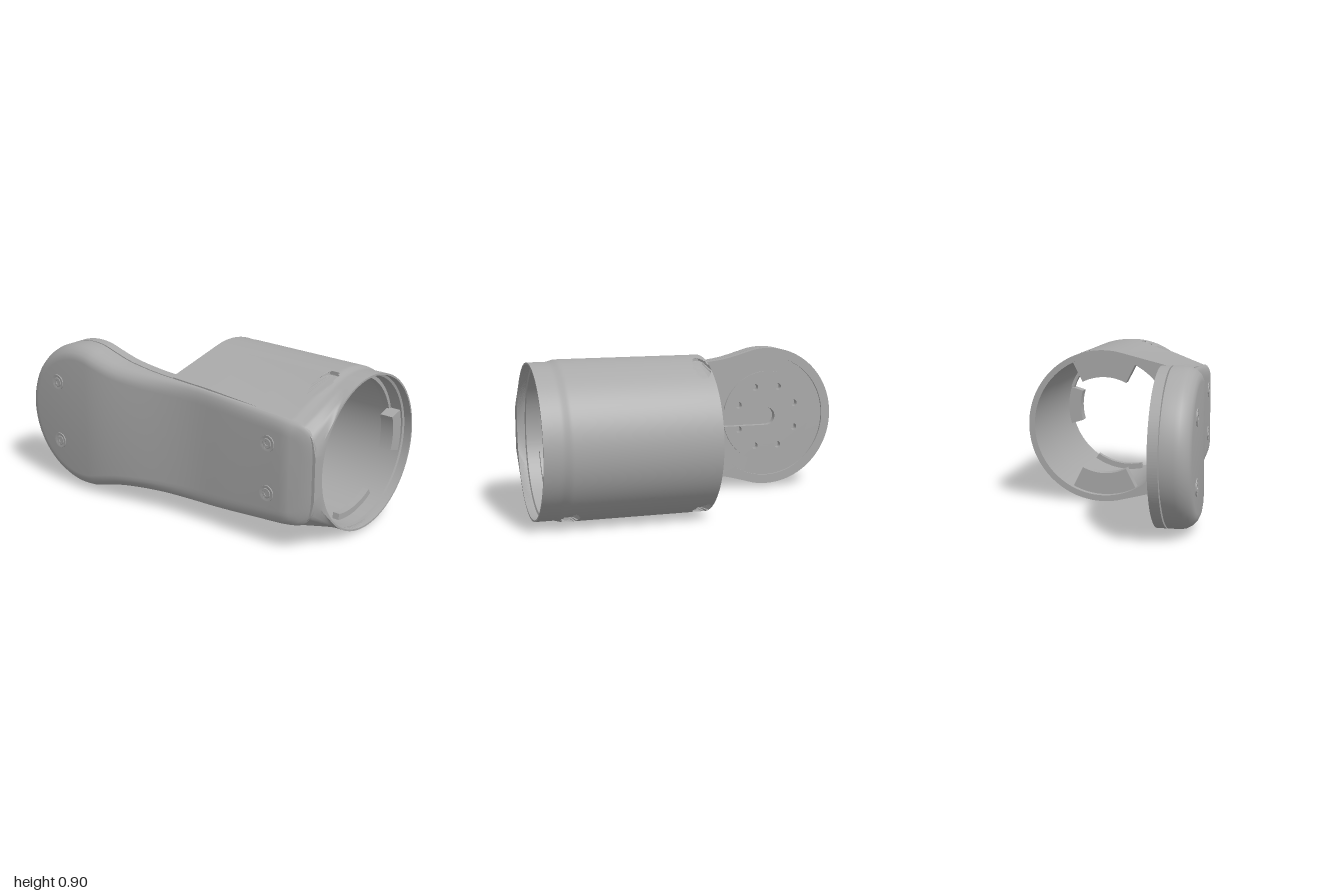
import * as THREE from 'three';
import { mergeGeometries, toCreasedNormals } from 'three/addons/utils/BufferGeometryUtils.js';

const CY = 0.457, CZ = -0.105, HUB_X = -0.57;
const { lerp, smoothstep } = THREE.MathUtils;

// Surface through rows of points
function grid(rows, closed, flip) {
  const n = rows[0].length, pos = [], idx = [];
  rows.forEach(r => r.forEach(p => pos.push(...p)));
  for (let i = 0; i < rows.length - 1; i++) {
    for (let j = 0; j < (closed ? n : n - 1); j++) {
      const k = (j + 1) % n;
      const a = i * n + j, b = a + n, c = (i + 1) * n + k, d = i * n + k;
      if (flip) idx.push(a, d, c, a, c, b);
      else idx.push(a, b, c, a, c, d);
    }
  }
  const g = new THREE.BufferGeometry();
  g.setAttribute('position', new THREE.Float32BufferAttribute(pos, 3));
  g.setIndex(idx);
  return g;
}

// Half height of the arm right of the hub: [x, half height]
const TAPER = [[-0.3, 0.372], [-0.2, 0.357], [-0.1, 0.347], [0, 0.341], [0.3, 0.33],
  [0.6, 0.31], [0.85, 0.29], [0.93, 0.27], [0.98, 0.215], [1, 0.12]];

function halfHeight(x) {
  for (let i = 1; i < TAPER.length; i++) {
    const [x0, h0] = TAPER[i - 1], [x1, h1] = TAPER[i];
    if (x <= x1) return lerp(h0, h1, (x - x0) / (x1 - x0));
  }
  return 0.12;
}

// Arm outline, counter-clockwise from the middle of the right end
function armOutline() {
  const top = [...TAPER].reverse();
  for (let a = 70; a < 180; a += 10) {
    const t = a * Math.PI / 180;
    top.push([HUB_X + 0.43 * Math.cos(t), 0.43 * Math.sin(t)]);
  }
  const all = [[1, 0], ...top, [-1, 0], ...top.reverse().map(([x, y]) => [x, -y])];
  const curve = new THREE.CatmullRomCurve3(all.map(([x, y]) => new THREE.Vector3(x, y, 0)), true);
  return curve.getPoints(200).slice(0, 200).map(p => [Math.min(p.x, 1), p.y]);
}

const coverFront = x => 0.555 - 0.118 * smoothstep(x, -0.5, 0.3)
  - 0.007 * smoothstep(x, 0.3, 0.8) - 0.042 * Math.max(0, (x - 0.84) / 0.16);
const coverBase = x => 0.403 - 0.035 * smoothstep(x, 0.3, 1);

// Rounded cover: outline rings stepping inward toward the front
function coverGeometry(outline) {
  const n = outline.length;
  const inset = d => outline.map(([x, y], i) => {
    const [ax, ay] = outline[(i + n - 1) % n], [bx, by] = outline[(i + 1) % n];
    const l = Math.hypot(bx - ax, by - ay);
    return [x - (by - ay) / l * d, y + (bx - ax) / l * d];
  });
  const ring = (d, z) => inset(d).map(([x, y]) => [x, y + CY, z(x)]);
  const rows = [ring(0.03, x => coverBase(x) - 0.02), ring(0.03, coverBase)];
  for (const [d, t] of [[0, 0], [0, 0.45], [0.006, 0.62], [0.02, 0.79], [0.04, 0.92], [0.06, 0.98], [0.08, 1]]) {
    rows.push(ring(d, x => lerp(coverBase(x), coverFront(x), t)));
  }
  const cap = (r, flip) => {
    const top = r.slice(0, n / 2 + 1);
    return grid([top, top.map((_, i) => r[(n - i) % n])], false, flip);
  };
  const g = mergeGeometries([grid(rows, true, true), cap(rows.at(-1), true), cap(rows[0], false)]);
  return toCreasedNormals(g, 0.5);
}

// Screw pockets in the tube: [x, y, direction in z, floor z]
const POCKETS = [[0.82, 0.865, 1, -0.02], [0.07, 0.857, -1, -0.17],
  [0.82, 0.057, -1, -0.17], [0.07, 0.057, -1, -0.17]];

function carve(p) {
  for (const [x, y, s, floor] of POCKETS) {
    if (Math.hypot(p[0] - x, p[1] - y) < 0.042 && (p[2] - floor) * s > 0) {
      p[2] = floor;
      const r = Math.hypot(p[1] - CY, p[2] - CZ), k = Math.max(1, 0.427 / r);
      p[1] = CY + (p[1] - CY) * k;
      p[2] = CZ + (p[2] - CZ) * k;
    }
  }
  return p;
}

// Tube blended along tangents into the flat back of the arm
function bodyGeometry() {
  const FLAT = 0.492;
  const section = (x, inner) => {
    const R = 0.45 - 0.012 * smoothstep(x, 0.84, 0.9);
    const h = halfHeight(x);
    const corner = Math.atan2(h, FLAT);
    const tangent = corner + Math.acos(Math.min(1, R / Math.hypot(h, FLAT)));
    const angles = [];
    const span = (a, b, n) => { for (let i = 0; i < n; i++) angles.push(lerp(a, b, i / n)); };
    span(-corner, corner, 40);
    span(corner, tangent, 18);
    span(tangent, 2 * Math.PI - tangent, 140);
    span(-tangent, -corner, 18);
    return angles.map(a => {
      const t = Math.abs(a > Math.PI ? a - 2 * Math.PI : a);
      let r = R;
      if (inner) {
        r = x > 0.952 ? 0.428 : 0.415;
        if (x < 0.352 && t < 0.13) r = 0.475 / Math.cos(t);
      } else if (t <= corner + 1e-6) r = FLAT / Math.cos(t);
      else if (t < tangent) r = R / Math.cos(tangent - t);
      const p = [x, CY + r * Math.sin(a), CZ + r * Math.cos(a)];
      return inner ? p : carve(p);
    });
  };
  const rows = [];
  for (let i = 0; i <= 120; i++) rows.push(section(lerp(0.022, 1, i / 120), false));
  for (const x of [1, 0.955, 0.95, 0.355, 0.35, 0.022]) rows.push(section(x, true));
  rows.push(rows[0]);
  return toCreasedNormals(grid(rows, true, false), 0.5);
}

function extrude(shape, z0, z1) {
  const g = new THREE.ExtrudeGeometry(shape, { depth: z1 - z0, bevelEnabled: false, curveSegments: 32 });
  return g.translate(0, CY, z0);
}

// Arc-shaped lug inside the bore; angles in degrees from +z toward +y
function lugGeometry(r0, r1, a0, a1, x0, x1) {
  const s = new THREE.Shape();
  const A = a0 * Math.PI / 180, B = a1 * Math.PI / 180;
  s.absarc(0, 0, r1, A, B, false);
  s.absarc(0, 0, r0, B, A, true);
  const g = new THREE.ExtrudeGeometry(s, { depth: x1 - x0, bevelEnabled: false, curveSegments: 16 });
  // shape x -> +z, shape y -> +y, depth -> -x
  return g.rotateY(-Math.PI / 2).translate(x1, CY, CZ);
}

export function createModel() {
  const model = new THREE.Group();
  const grey = new THREE.MeshStandardMaterial({ color: 0xa9a9a9 });
  grey.name = 'matte grey';
  const add = (name, geometry) => {
    const m = new THREE.Mesh(geometry, grey);
    m.name = name;
    model.add(m);
    return m;
  };
  const outline = armOutline();
  add('tubeBody', bodyGeometry());
  add('armCover', coverGeometry(outline));

  // Back plate with a round recess opening into the cable channel
  const SLOT = 0.055, RECESS = 0.375;
  const plate = new THREE.Shape();
  const rim = outline.filter(([x]) => x < 0.03);
  plate.moveTo(0.03, SLOT);
  plate.lineTo(0.03, halfHeight(0.03));
  rim.forEach(([x, y]) => plate.lineTo(x, y));
  plate.lineTo(0.03, -halfHeight(0.03));
  plate.lineTo(0.03, -SLOT);
  const open = Math.asin(SLOT / RECESS);
  plate.absarc(HUB_X, 0, RECESS, -open, -2 * Math.PI + open, true);
  plate.closePath();
  add('backPlate', extrude(plate, 0.34, 0.395));

  // Hub discs, slotted for the channel
  const hubDisc = r => {
    const s = new THREE.Shape(), a = Math.asin(SLOT / r);
    s.absarc(HUB_X, 0, r, a, 2 * Math.PI - a, false);
    s.absarc(HUB_X, 0, SLOT, -Math.PI / 2, -Math.PI * 1.5, true);
    s.closePath();
    for (let i = 0; i < 8; i++) {
      const t = (i + 0.5) * Math.PI / 4;
      const hole = new THREE.Path();
      hole.absarc(HUB_X + 0.2 * Math.cos(t), 0.2 * Math.sin(t), 0.02, 0, Math.PI * 2, true);
      s.holes.push(hole);
    }
    return s;
  };
  add('hubLedge', extrude(hubDisc(RECESS + 0.005), 0.352, 0.39));
  add('hubFace', extrude(hubDisc(0.285), 0.343, 0.352));

  // Wide stops near the arm end, a side stop and bayonet ledges near the open end
  for (const turn of [0, 180]) {
    add('wideStop', lugGeometry(0.288, 0.425, 63 + turn, 117 + turn, 0.06, 0.13));
    add('bayonetLedge', lugGeometry(0.38, 0.425, 57 + turn, 102 + turn, 0.84, 0.88));
    add('bayonetRib', lugGeometry(0.395, 0.425, 114 + turn, 162 + turn, 0.84, 0.88));
  }
  add('sideStop', lugGeometry(0.335, 0.425, 163, 197, 0.86, 0.94));

  // Countersunk screws on the cover
  const profile = [[0, 0.001], [0.012, 0.001], [0.013, 0.004], [0.024, 0.004], [0.028, 0.001],
    [0.04, 0.004], [0.045, 0.004], [0.046, -0.006]].map(([x, y]) => new THREE.Vector2(x, y));
  const screw = toCreasedNormals(new THREE.LatheGeometry(profile.reverse(), 32).rotateX(Math.PI / 2), 0.4);
  for (const [x, dy] of [[-0.735, 0.182], [0.725, 0.14]]) {
    for (const side of [1, -1]) {
      add('coverScrew', screw).position.set(x, CY + 0.005 + side * dy, coverFront(x) + 0.001);
    }
  }
  return model;
}
